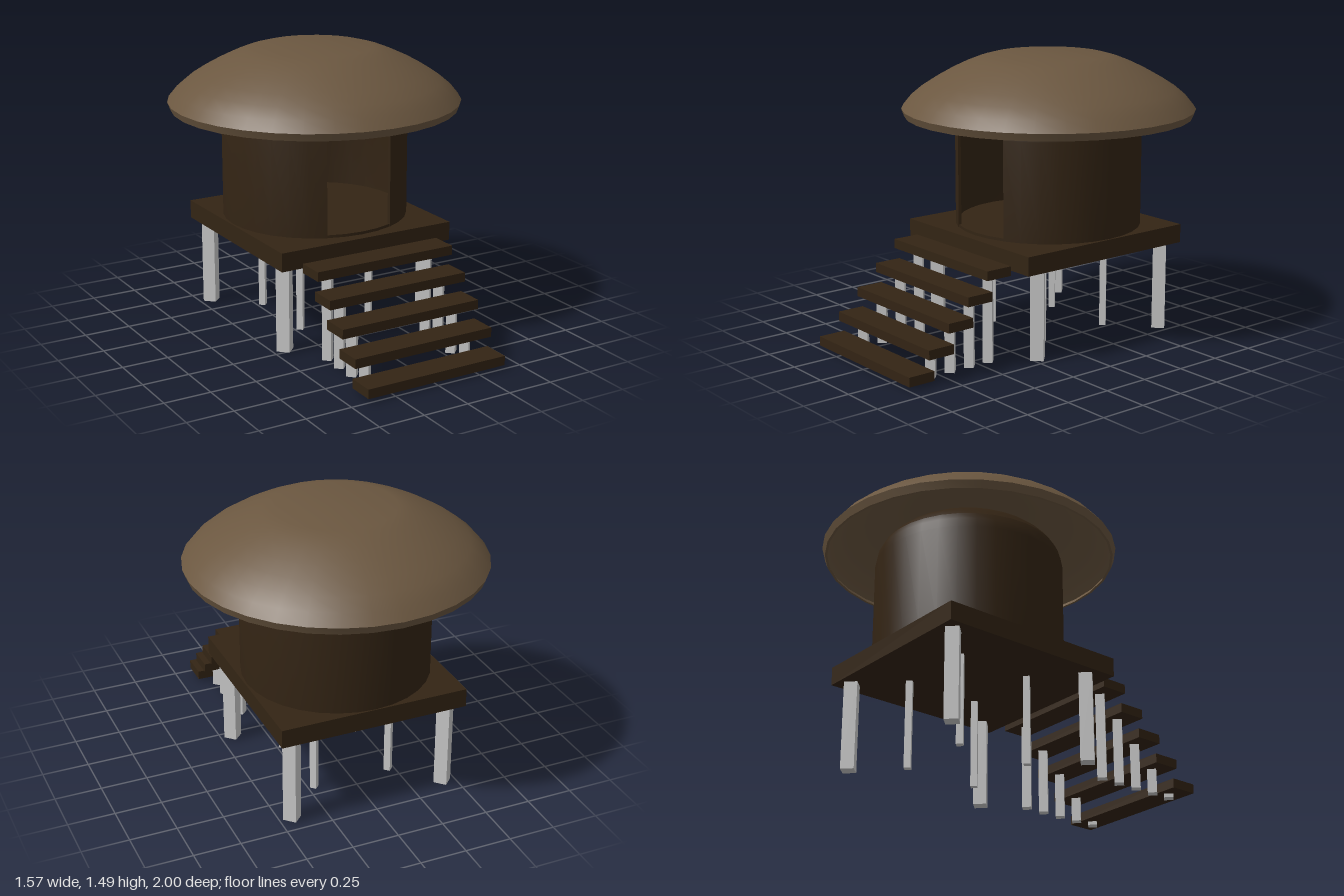
import * as THREE from 'three';
import { toCreasedNormals } from 'three/addons/utils/BufferGeometryUtils.js';

const WOOD = new THREE.MeshStandardMaterial({ color: 0x332414, side: THREE.DoubleSide });
const ROOF = new THREE.MeshStandardMaterial({ color: 0x6b5740, side: THREE.DoubleSide });
const GREY = new THREE.MeshStandardMaterial({ color: 0xcccccc, flatShading: true });

const CZ = -0.215;      // centre of the hut
const R = 0.5;          // wall radius
const T = 0.015;        // shell thickness
const SPRING = 1.11;    // where the wall turns into the dome
const DOME = 0.27;      // dome height
const DOOR_TOP = 1.2;
const DOOR = Math.PI / 8; // half angle of the doorway

export function createModel() {
  const model = new THREE.Group();

  function add(parent, name, geometry, material, x = 0, y = 0, z = 0) {
    const mesh = new THREE.Mesh(geometry, material);
    mesh.name = name;
    mesh.position.set(x, y, z);
    parent.add(mesh);
    return mesh;
  }
  function group(name, z = 0) {
    const g = new THREE.Group();
    g.name = name;
    g.position.z = z;
    model.add(g);
    return g;
  }
  const lathe = (points, segments, start = 0, length = Math.PI * 2) =>
    toCreasedNormals(new THREE.LatheGeometry(points, segments, start, length), 0.5);

  // Four-sided post standing on the ground, corners along the axes
  const post = (parent, name, x, z, radius, height) =>
    add(parent, name, new THREE.CylinderGeometry(radius, radius, height, 4), GREY, x, height / 2, z);

  // Platform and its posts
  add(model, 'platform', new THREE.BoxGeometry(1.02, 0.1, 1.06), WOOD, 0, 0.53, -0.19);
  const posts = group('platformPosts', CZ);
  for (const sx of [-1, 1]) {
    for (const sz of [-1, 1]) {
      post(posts, 'cornerPost', sx * 0.43, sz * 0.43, 0.05, 0.48);
      post(posts, 'innerPost', sx * 0.215, sz * 0.215, 0.025, 0.48);
    }
  }

  // Stairs: five planks, each on two posts
  const stairs = group('stairs');
  for (let i = 0; i < 5; i++) {
    const z = 0.925 - i * 0.1205;
    const bottom = 0.02 + i * 0.1115;
    add(stairs, 'step', new THREE.BoxGeometry(0.81, 0.05, 0.15), WOOD, 0, bottom + 0.025, z);
    for (const sx of [-1, 1]) post(stairs, 'stepPost', sx * 0.3, z - 0.008, 0.035, bottom);
  }

  // Hut: floor, wall with a doorway, dome
  const hut = group('hut', CZ);
  add(hut, 'floor', new THREE.CylinderGeometry(R - 0.002, R - 0.002, T, 32), WOOD, 0, 0.58 + T / 2, 0);

  // Points on the dome, offset inwards by the given amount
  const dome = (y, inset) => {
    const t = Math.min(1, (y - SPRING) / (DOME - inset));
    return new THREE.Vector2((R - inset) * Math.sqrt(1 - t * t), y);
  };
  const wallProfile = [
    new THREE.Vector2(R, 0.58), dome(SPRING, 0), dome(1.16, 0), dome(DOOR_TOP, 0),
    dome(DOOR_TOP, T), dome(1.16, T), dome(SPRING, T), new THREE.Vector2(R - T, 0.58),
  ];
  add(hut, 'wall', lathe(wallProfile, 28, DOOR, Math.PI * 2 - DOOR * 2), WOOD);
  for (const side of [-1, 1]) {
    const jamb = new THREE.ShapeGeometry(new THREE.Shape(wallProfile));
    jamb.rotateY(side * DOOR - Math.PI / 2);
    add(hut, 'doorJamb', jamb, WOOD);
  }

  const outer = [], inner = [];
  for (let i = 0; i <= 8; i++) {
    const k = Math.sin((i / 8) * Math.PI / 2);
    outer.push(dome(DOOR_TOP + (SPRING + DOME - DOOR_TOP) * k, 0));
    inner.unshift(dome(DOOR_TOP + (SPRING + DOME - T - DOOR_TOP) * k, T));
  }
  add(hut, 'dome', lathe([...outer, ...inner, outer[0]], 32), WOOD);

  // Hollow overhanging roof with a flat crown
  const roofOuter = [
    [0.77, 1.17], [0.785, 1.21], [0.74, 1.265], [0.68, 1.315], [0.61, 1.36],
    [0.53, 1.405], [0.45, 1.443], [0.38, 1.471], [0.31, 1.49], [0, 1.49],
  ].map(([r, y]) => new THREE.Vector2(r, y));
  const roofInner = roofOuter.slice(1).reverse()
    .map((p) => new THREE.Vector2(Math.max(0, p.x - 0.015), p.y - 0.018));
  roofInner.push(new THREE.Vector2(0.757, 1.17), roofOuter[0]);
  add(model, 'roof', lathe([...roofOuter, ...roofInner], 32), ROOF, 0, 0, CZ);

  return model;
}
